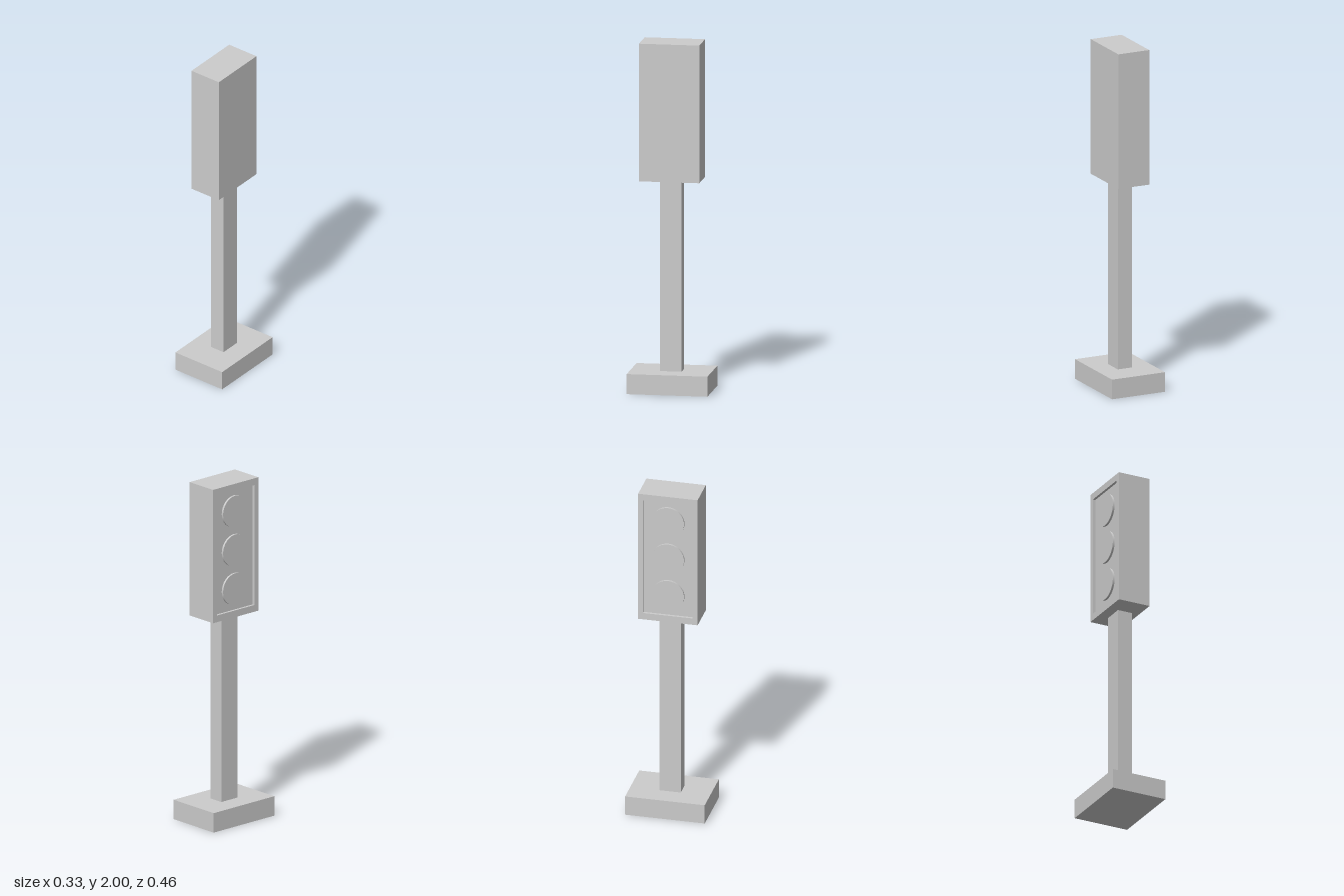
import * as THREE from 'three';

const material = new THREE.MeshStandardMaterial({ color: 0xcccccc });

export function createModel() {
  const model = new THREE.Group();
  model.name = 'trafficLight';

  const add = (name, geometry, x, y, z) => {
    const mesh = new THREE.Mesh(geometry, material);
    mesh.name = name;
    mesh.position.set(x, y, z);
    model.add(mesh);
    return mesh;
  };
  // Box given by its size and the height of its underside
  const block = (name, w, h, d, bottom, x = 0) =>
    add(name, new THREE.BoxGeometry(w, h, d), x, bottom + h / 2, 0);

  const headW = 0.195, headD = 0.345, headBottom = 1.21, headH = 0.79;
  const poleW = 0.09, poleD = 0.124;
  const recess = 0.015;
  const floorX = -headW / 2 + recess;

  // Foot and post
  block('base', 0.334, 0.115, 0.462, 0);
  block('pole', poleW, 1.085, poleD, 0.115);

  // Shallow taper from the underside of the head to the post
  const taper = new THREE.BoxGeometry(headW, 0.01, headD);
  const p = taper.attributes.position;
  for (let i = 0; i < p.count; i++) {
    if (p.getY(i) < 0) {
      p.setX(i, Math.sign(p.getX(i)) * poleW / 2);
      p.setZ(i, Math.sign(p.getZ(i)) * poleD / 2);
    }
  }
  taper.computeVertexNormals();
  add('headUnderside', taper, 0, headBottom - 0.005, 0);

  // Signal head, with a raised rim around the lamp panel on the -x side
  block('head', headW - recess, headH, headD, headBottom, recess / 2);

  const rectangle = (target, w, h) => target
    .moveTo(-w / 2, -h / 2).lineTo(w / 2, -h / 2)
    .lineTo(w / 2, h / 2).lineTo(-w / 2, h / 2).closePath();
  const rimShape = rectangle(new THREE.Shape(), headD, headH);
  rimShape.holes.push(rectangle(new THREE.Path(), headD - 0.06, headH - 0.08));
  const rim = add('panelRim',
    new THREE.ExtrudeGeometry(rimShape, { depth: recess, bevelEnabled: false }),
    floorX, headBottom + headH / 2, 0);
  rim.rotation.y = -Math.PI / 2;

  // Three round lamps
  ['lowerLamp', 'middleLamp', 'upperLamp'].forEach((name, i) => {
    const lamp = add(name, new THREE.CylinderGeometry(0.093, 0.093, 0.012, 32),
      floorX - 0.006, headBottom + headH / 2 + (i - 1) * 0.23, 0);
    lamp.rotation.z = Math.PI / 2;
  });

  return model;
}
